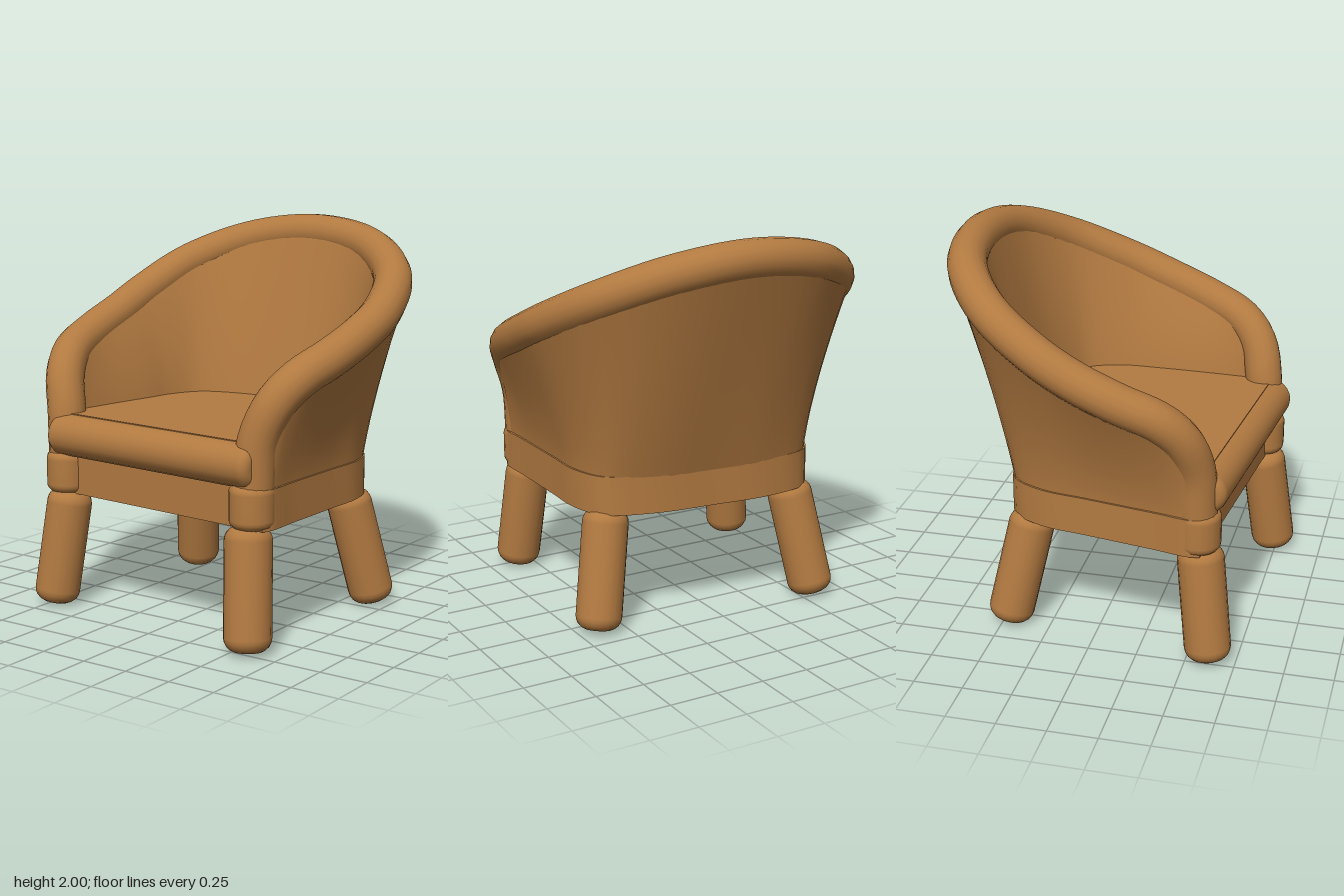
import * as THREE from 'three';
import { toCreasedNormals } from 'three/addons/utils/BufferGeometryUtils.js';

const V = (x, y, z) => new THREE.Vector3(x, y, z);
const UP = V(0, 1, 0);
const TURN = -0.095; // the chair is turned a little towards its right

// Mirrors a half path (starting on the centre line) into a full curve from -x to +x.
// With straighten, the back of the curve is turned back to face straight ahead.
function mirroredCurve(half, straighten = 0) {
  const left = half.slice(1).reverse().map(([x, y, z]) => V(-x, y, z));
  const points = [...left, ...half.map((p) => V(...p))];
  for (const p of points) {
    const w = THREE.MathUtils.clamp((0.1 - p.z) / 0.6, 0, 1);
    p.applyAxisAngle(UP, -TURN * straighten * w);
  }
  return new THREE.CatmullRomCurve3(points);
}

// Sheet from a top curve, pushed outwards by offset, down to a bottom curve; the sides flare
function loft(top, bottom, offset, cols = 72, rows = 12) {
  const pos = [], index = [];
  for (let i = 0; i <= cols; i++) {
    const t = bottom.getTangent(i / cols);
    const a = top.getPoint(i / cols).addScaledVector(V(t.z, 0, -t.x).normalize(), offset);
    const b = bottom.getPoint(i / cols);
    for (let j = 0; j <= rows; j++) {
      const f = j / rows;
      const p = a.clone().lerp(b, f);
      p.x = b.x + (a.x - b.x) * (1 - f) ** 1.5;
      pos.push(p.x, p.y, p.z);
      if (i < cols && j < rows) {
        const k = i * (rows + 1) + j, n = k + rows + 1;
        index.push(k, n, k + 1, n, n + 1, k + 1);
      }
    }
  }
  const g = new THREE.BufferGeometry();
  g.setAttribute('position', new THREE.Float32BufferAttribute(pos, 3));
  g.setIndex(index);
  g.computeVertexNormals();
  return g;
}

// Round peg with softened ends, running from a to b
function peg(a, b, r, bevel) {
  const h = a.distanceTo(b), pts = [new THREE.Vector2(0, 0)];
  for (let i = 0; i <= 5; i++) {
    const t = (i / 5) * Math.PI / 2;
    pts.push(new THREE.Vector2(r - bevel + bevel * Math.sin(t), bevel - bevel * Math.cos(t)));
  }
  for (let i = 6; i >= 0; i--) pts.push(new THREE.Vector2(pts[i].x, h - pts[i].y));
  const q = new THREE.Quaternion().setFromUnitVectors(UP, b.clone().sub(a).normalize());
  return new THREE.LatheGeometry(pts, 20).applyQuaternion(q).translate(a.x, a.y, a.z);
}

// Solid slab with the plan of a curve, closed straight across the front
function slab(curve, y0, y1) {
  const outline = curve.getPoints(60).map((p) => new THREE.Vector2(p.x, -p.z));
  const g = new THREE.ExtrudeGeometry(new THREE.Shape(outline), { depth: y1 - y0, bevelEnabled: false });
  g.rotateX(-Math.PI / 2).translate(0, y0, 0);
  return toCreasedNormals(g, 0.7);
}

export function createModel() {
  const brown = new THREE.MeshStandardMaterial({ color: 0xb27a41, side: THREE.DoubleSide });
  brown.name = 'warm brown';
  const chair = new THREE.Group();
  chair.name = 'tubArmchair';
  const add = (name, geometry) => {
    const m = new THREE.Mesh(geometry, brown);
    m.name = name;
    chair.add(m);
  };

  // Half paths: padded rim centre line, and the plan of the tub where it meets the base
  const rim = mirroredCurve([
    [0, 1.9, -0.755], [0.38, 1.85, -0.695], [0.655, 1.725, -0.49], [0.78, 1.575, -0.2],
    [0.803, 1.475, 0.02], [0.795, 1.385, 0.25], [0.755, 1.305, 0.435], [0.7, 1.195, 0.54],
    [0.64, 1.02, 0.59], [0.625, 0.78, 0.6],
  ], 0.8);
  const planHalf = [
    [0, -0.46], [0.3, -0.455], [0.55, -0.38], [0.64, -0.2], [0.66, 0.02],
    [0.68, 0.25], [0.695, 0.42], [0.708, 0.52], [0.712, 0.58], [0.7, 0.64],
  ];
  const plan = (scale, y, straighten = 0) => mirroredCurve(
    planHalf.map(([x, z]) => [x * scale, y, z > 0 ? z : z * scale]), straighten);

  // Tub back and arms: outer and inner skins flush with the rim
  add('outerShell', loft(rim, plan(1, 0.76), 0.088));
  add('innerShell', loft(rim, plan(0.86, 0.9, 0.8), -0.088));
  add('paddedRim', new THREE.TubeGeometry(rim, 96, 0.1, 16));

  // Base frame
  add('baseFrame', slab(plan(1.02, 0.6), 0.6, 0.8));

  // Seat cushion with a rolled front edge
  add('seatCushion', slab(plan(0.94, 0.8), 0.8, 1.02));
  add('seatFrontRoll', peg(V(-0.655, 0.907, 0.635), V(0.68, 0.907, 0.635), 0.109, 0.05));

  // Front corner blocks and splayed legs
  for (const s of [-1, 1]) {
    const side = s > 0 ? 'left' : 'right';
    add(side + 'FrontCorner', peg(V(s * 0.62, 0.6, 0.605), V(s * 0.62, 0.82, 0.605), 0.113, 0.045));
    add(side + 'FrontLeg', peg(V(s * 0.655, 0.01, 0.68), V(s * 0.6, 0.61, 0.607), 0.118, 0.07));
    add(side + 'BackLeg', peg(V(s * 0.615, 0.01, -0.415), V(s * 0.515, 0.605, -0.3), 0.118, 0.07));
  }

  chair.rotation.y = TURN;
  const model = new THREE.Group();
  model.name = 'armchair';
  model.add(chair);
  return model;
}
